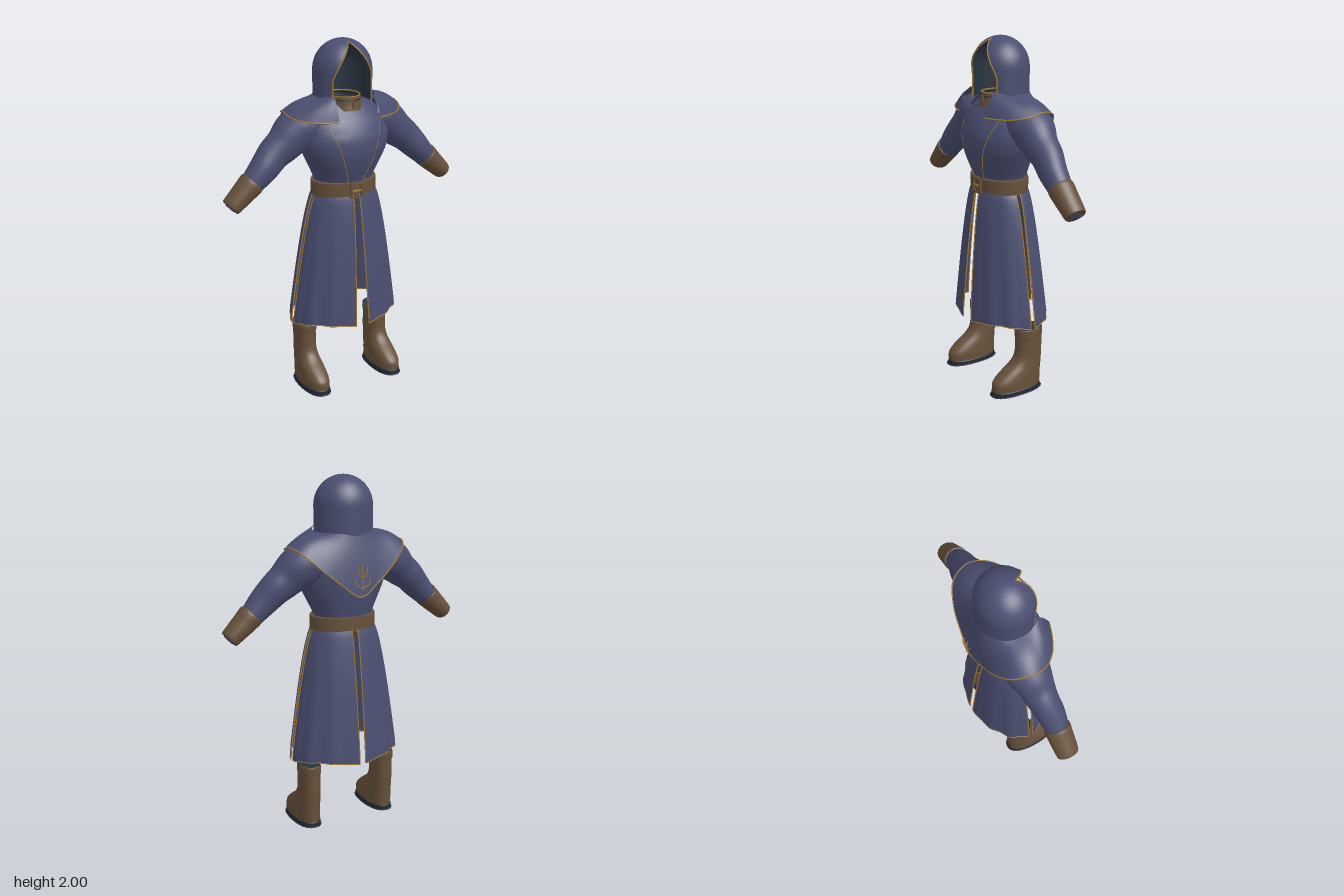
import * as THREE from 'three';

const mat = (name, color) => new THREE.MeshStandardMaterial({ name, color, side: THREE.DoubleSide });
const V = (x, y, z) => new THREE.Vector3(x, y, z);

export function createModel() {
  const blue = mat('blueCloth', 0x4a4e70), brown = mat('brownLeather', 0x66503a);
  const gold = mat('goldTrim', 0xa67a30), dark = mat('darkLining', 0x28343f), soleMat = mat('darkSole', 0x232a38);
  const model = new THREE.Group();
  model.name = 'hoodedRobe';
  const add = (name, geo, material, parent = model) => {
    const m = new THREE.Mesh(geo, material);
    m.name = name;
    parent.add(m);
    return m;
  };

  // Grid surface from fn(u, v); closed joins u = 1 to u = 0
  const surface = (nu, nv, fn, closed = false) => {
    const pos = [], idx = [], cols = closed ? nu : nu + 1;
    for (let j = 0; j <= nv; j++)
      for (let i = 0; i < cols; i++) pos.push(...fn(i / nu, j / nv));
    for (let j = 0; j < nv; j++)
      for (let i = 0; i < nu; i++) {
        const a = j * cols + i, b = j * cols + (i + 1) % cols;
        idx.push(a, b, a + cols, b, b + cols, a + cols);
      }
    const g = new THREE.BufferGeometry();
    g.setAttribute('position', new THREE.Float32BufferAttribute(pos, 3));
    g.setIndex(idx);
    g.computeVertexNormals();
    return g;
  };

  // Smooth interpolation through rows of numbers
  const mix = (rows, v) => {
    const n = rows.length - 1, s = Math.min(v * n, n - 1e-9), i = Math.floor(s), t = s - i;
    const at = k => rows[Math.max(0, Math.min(n, k))];
    return rows[0].map((_, c) => {
      const [p, q, r, w] = [at(i - 1)[c], at(i)[c], at(i + 1)[c], at(i + 2)[c]];
      return q + 0.5 * t * (r - p + t * (2 * p - 5 * q + 4 * r - w + t * (3 * (q - r) + w - p)));
    });
  };
  const pw = (s, e) => Math.sign(s) * Math.abs(s) ** e;
  // Stack of rounded sections, each row [y, halfWidth, zFront, zBack]
  const stack = (rows, nv, e = 1, x0 = 0) => surface(40, nv, (u, v) => {
    const [y, hw, zf, zb] = mix(rows, v), a = u * Math.PI * 2;
    return [x0 + hw * pw(Math.sin(a), e), y, (zf + zb) / 2 + (zf - zb) / 2 * pw(Math.cos(a), e)];
  }, true);
  const cord = (name, pts, r = 0.004, parent = model) =>
    add(name, new THREE.TubeGeometry(new THREE.CatmullRomCurve3(pts), pts.length * 4, r, 6), gold, parent);

  // Torso
  const torsoRows = [[1.18, 0.168, 0.13, -0.12], [1.24, 0.175, 0.145, -0.13], [1.32, 0.212, 0.175, -0.145],
    [1.40, 0.25, 0.194, -0.155], [1.48, 0.265, 0.19, -0.16], [1.56, 0.25, 0.158, -0.155],
    [1.62, 0.21, 0.115, -0.14], [1.66, 0.14, 0.085, -0.11], [1.67, 0.08, 0.06, -0.08]];
  add('torso', stack(torsoRows, 40), blue);
  const torsoFront = (x, y, off) => {
    let k = 0;
    while (k < torsoRows.length - 2 && torsoRows[k + 1][0] < y) k++;
    const [a, b] = [torsoRows[k], torsoRows[k + 1]], t = (y - a[0]) / (b[0] - a[0]);
    const [, hw, zf, zb] = a.map((q, i) => q + (b[i] - q) * t);
    return (zf + zb) / 2 + (zf - zb) / 2 * Math.sqrt(Math.max(0, 1 - (x / hw) ** 2)) + off;
  };

  // Chest lapels with a trimmed outer edge
  for (const s of [1, -1]) {
    const inner = y => 0.01 + 0.06 * (y - 1.22) / 0.37, outer = y => 0.04 + 0.125 * (y - 1.22) / 0.36;
    add('lapel', surface(6, 16, (u, v) => {
      const y = 1.22 + 0.38 * v, x = s * (inner(y) + (outer(y) - inner(y)) * u);
      return [x, y, torsoFront(x, y, 0.007)];
    }), blue);
    cord('lapelTrim', [1.22, 1.3, 1.38, 1.46, 1.54, 1.6].map(y => V(s * outer(y), y, torsoFront(outer(y), y, 0.006))), 0.0025);
  }

  // Sleeves and cuffs, swept down the arm; rows are [x, y, z, inPlaneRadius, depthRadius]
  const sweep = (rows, nv) => surface(28, nv, (u, v) => {
    const [x, y, z, r, rz] = mix(rows, v), a = u * Math.PI * 2;
    const p = mix(rows, Math.max(0, v - 0.01)), q = mix(rows, Math.min(1, v + 0.01));
    const d = Math.hypot(q[0] - p[0], q[1] - p[1]) || 1, tx = (q[0] - p[0]) / d, ty = (q[1] - p[1]) / d;
    return [x - ty * r * Math.cos(a), y + tx * r * Math.cos(a), z + rz * Math.sin(a)];
  }, true);
  for (const s of [1, -1]) {
    const arm = new THREE.Group();
    arm.name = s > 0 ? 'leftArm' : 'rightArm';
    arm.scale.x = s;
    model.add(arm);
    add('sleeve', sweep([[0.17, 1.57, -0.02, 0.09, 0.11], [0.235, 1.55, -0.02, 0.115, 0.125], [0.30, 1.505, -0.02, 0.115, 0.115],
      [0.36, 1.455, -0.012, 0.1, 0.095], [0.42, 1.41, -0.01, 0.09, 0.085], [0.485, 1.345, 0.003, 0.08, 0.076],
      [0.55, 1.28, 0.005, 0.066, 0.066], [0.58, 1.25, 0.005, 0.06, 0.06]], 36), blue, arm);
    add('cuff', sweep([[0.555, 1.28, 0.006, 0.05, 0.05], [0.555, 1.28, 0.006, 0.069, 0.071], [0.60, 1.238, 0.006, 0.064, 0.069],
      [0.64, 1.202, 0.006, 0.058, 0.066], [0.683, 1.163, 0.006, 0.05, 0.06], [0.681, 1.165, 0.006, 0.036, 0.042]], 25), brown, arm);
    add('sleeveEnd', sweep([[0.66, 1.184, 0.006, 0.034, 0.038], [0.689, 1.157, 0.006, 0.03, 0.034], [0.68, 1.166, 0.006, 0, 0]], 6), blue, arm);
  }

  // Shoulder cape: half outlines mirrored into full ones
  const mirror = half => [...half.map(p => V(...p)), ...half.slice(0, -1).reverse().map(([x, y, z]) => V(-x, y, z))];
  const capeTop = new THREE.CatmullRomCurve3(mirror([[0.118, 1.715, 0.125], [0.13, 1.715, 0.112], [0.15, 1.71, 0.085],
    [0.163, 1.7, 0.045], [0.166, 1.7, 0], [0.158, 1.7, -0.05], [0.13, 1.7, -0.095], [0.07, 1.7, -0.138], [0, 1.7, -0.15]]));
  const capeHem = new THREE.CatmullRomCurve3(mirror([[0.125, 1.59, 0.19], [0.2, 1.59, 0.165], [0.28, 1.595, 0.12],
    [0.335, 1.61, 0.05], [0.345, 1.63, -0.035], [0.31, 1.605, -0.125], [0.22, 1.52, -0.178], [0.11, 1.43, -0.2], [0, 1.36, -0.21]]));
  add('shoulderCape', surface(64, 12, (u, v) => {
    const p = capeTop.getPoint(u).lerp(capeHem.getPoint(u), v), bulge = Math.sin(v * Math.PI);
    return [p.x * (1 + 0.03 * bulge), p.y + 0.014 * bulge, p.z * (1 + 0.02 * bulge)];
  }), blue);
  add('capeTrim', new THREE.TubeGeometry(capeHem, 96, 0.004, 6), gold);

  // Plain branching stitched ornament on the back of the cape
  cord('backStem', [V(0, 1.4, -0.222), V(0, 1.46, -0.22), V(0, 1.54, -0.215)], 0.003);
  for (const s of [1, -1])
    for (const [y, w] of [[1.41, 0.05], [1.47, 0.03]])
      cord('backBranch', [V(0, y, -0.222), V(s * w * 0.75, y + 0.02, -0.221), V(s * w, y + 0.055, -0.218)], 0.003);

  // Hood: domed shell with a pointed opening cut at the front
  const hoodPoint = (inset) => (u, v) => {
    const k = v * Math.PI / 2;
    const y = v < 0.4 ? 1.66 + 0.175 * v / 0.4 : 1.835 + (0.165 - inset) * Math.sin((v - 0.4) / 0.6 * Math.PI / 2);
    const r = v < 0.4 ? 1 : Math.max(Math.cos((v - 0.4) / 0.6 * Math.PI / 2), 1e-4);
    const a = (0.165 - inset) * r, b = (0.154 - inset) * r;
    const t = Math.max(0, Math.min(1, (y - 1.78) / 0.208));
    const gap = Math.asin(Math.min(0.95, 0.12 * (1 - t ** 1.6) / a));
    const th = gap + (Math.PI * 2 - 2 * gap) * u;
    return [a * Math.sin(th), y, b * Math.cos(th)];
  };
  const hoodOuter = hoodPoint(0);
  add('hood', surface(56, 40, hoodOuter), blue);
  add('hoodLining', surface(56, 40, hoodPoint(0.006)), dark);
  const edge = [];
  for (let i = 0; i <= 17; i++) edge.push(V(...hoodOuter(0, i / 20)));
  const apex = V(0, 1.988, 0.06);
  cord('hoodTrim', [...edge, apex]);
  cord('hoodTrim', [...edge.map(p => V(-p.x, p.y, p.z)), apex]);

  // Collar
  add('collar', stack([[1.625, 0.1, 0.125, -0.11], [1.66, 0.092, 0.117, -0.1], [1.7, 0.088, 0.112, -0.095]], 8), brown);
  add('collarInside', stack([[1.695, 0.084, 0.108, -0.09], [1.67, 0.084, 0.108, -0.09], [1.668, 0, 0, 0]], 6), dark);
  const rim = add('collarTrim', new THREE.TorusGeometry(0.1, 0.004, 6, 40).rotateX(Math.PI / 2), gold);
  rim.position.set(0, 1.7, 0.008);
  rim.scale.set(0.88, 1, 1.03);
  add('collarClasp', new THREE.BoxGeometry(0.016, 0.05, 0.008), brown).position.set(0, 1.66, 0.119);

  // Belt and buckle
  const beltShape = [[0.9, 1.14], [0.985, 1.14], [1, 1.147], [1, 1.228], [0.985, 1.235], [0.85, 1.235]];
  const belt = add('belt', new THREE.LatheGeometry(beltShape.map(p => new THREE.Vector2(...p)), 56), brown);
  belt.scale.set(0.193, 1, 0.146);
  belt.position.z = 0.01;
  for (const s of [1, -1]) {
    add('buckleSide', new THREE.BoxGeometry(0.012, 0.08, 0.014), brown).position.set(s * 0.034, 1.187, 0.157);
    add('buckleBar', new THREE.BoxGeometry(0.08, 0.012, 0.014), brown).position.set(0, 1.187 + s * 0.036, 0.157);
  }
  add('bucklePin', new THREE.BoxGeometry(0.06, 0.01, 0.012), gold).position.set(0, 1.187, 0.157);

  // Skirt: four flared panels parted at front, back and sides
  const panel = (sx, sz) => (u, v) => {
    const rx = 0.182 + 0.153 * v ** 0.65, rz = 0.142 + 0.096 * v ** 0.7;
    const slit = sz > 0 ? 0.018 + 0.024 * v : 0.018, side = sz > 0 ? 0.018 : 0.008;
    const a0 = Math.asin(slit / rx), a1 = Math.acos(side / rz), a = a0 + (a1 - a0) * u;
    const fold = 1 + 0.022 * v * (Math.cos(u * Math.PI * 6) - 1) * Math.sin(u * Math.PI);
    const curl = v > 0.96 ? 1 - 0.25 * (v - 0.96) : 1;
    const y = 1.17 - 0.77 * v + 0.02 * v ** 8 * Math.sin(u * Math.PI);
    return [sx * rx * fold * curl * Math.sin(a), y, sz * rz * fold * curl * Math.cos(a) + 0.01 * (1 - v)];
  };
  for (const sx of [1, -1])
    for (const sz of [1, -1]) {
      const fn = panel(sx, sz), steps = Array.from({ length: 17 }, (_, i) => i / 16);
      add('skirtPanel', surface(36, 32, fn), blue);
      cord('slitTrim', steps.map(t => V(...fn(0, t))), 0.0035);
      cord('sideTrim', steps.map(t => V(...fn(1, t))), 0.0035);
      cord('hemTrim', steps.map(t => V(...fn(t, 1))), 0.003);
    }

  // Boots
  for (const s of [1, -1]) {
    const boot = new THREE.Group();
    boot.name = s > 0 ? 'leftBoot' : 'rightBoot';
    boot.position.x = s * 0.24;
    model.add(boot);
    add('bootUpper', stack([[0.025, 0.071, 0.212, -0.098], [0.07, 0.072, 0.21, -0.1], [0.1, 0.07, 0.185, -0.1],
      [0.13, 0.067, 0.145, -0.102], [0.16, 0.063, 0.1, -0.104], [0.19, 0.06, 0.07, -0.106], [0.23, 0.058, 0.054, -0.108],
      [0.3, 0.058, 0.05, -0.108], [0.37, 0.058, 0.05, -0.108]], 40, 0.85), brown, boot);
    add('bootBand', stack([[0.325, 0.057, 0.049, -0.107], [0.33, 0.061, 0.053, -0.111], [0.37, 0.061, 0.053, -0.111],
      [0.377, 0.057, 0.049, -0.107]], 12, 0.85), brown, boot);
    add('bootOpening', stack([[0.376, 0.056, 0.048, -0.106], [0.36, 0.05, 0.042, -0.1], [0.355, 0, -0.03, -0.03]], 6, 0.85), dark, boot);
    add('sole', stack([[0, 0, 0.05, 0.05], [0, 0.072, 0.212, -0.098], [0.004, 0.074, 0.215, -0.101],
      [0.024, 0.074, 0.215, -0.101], [0.03, 0.07, 0.21, -0.097]], 20, 0.85), soleMat, boot);
  }
  return model;
}
